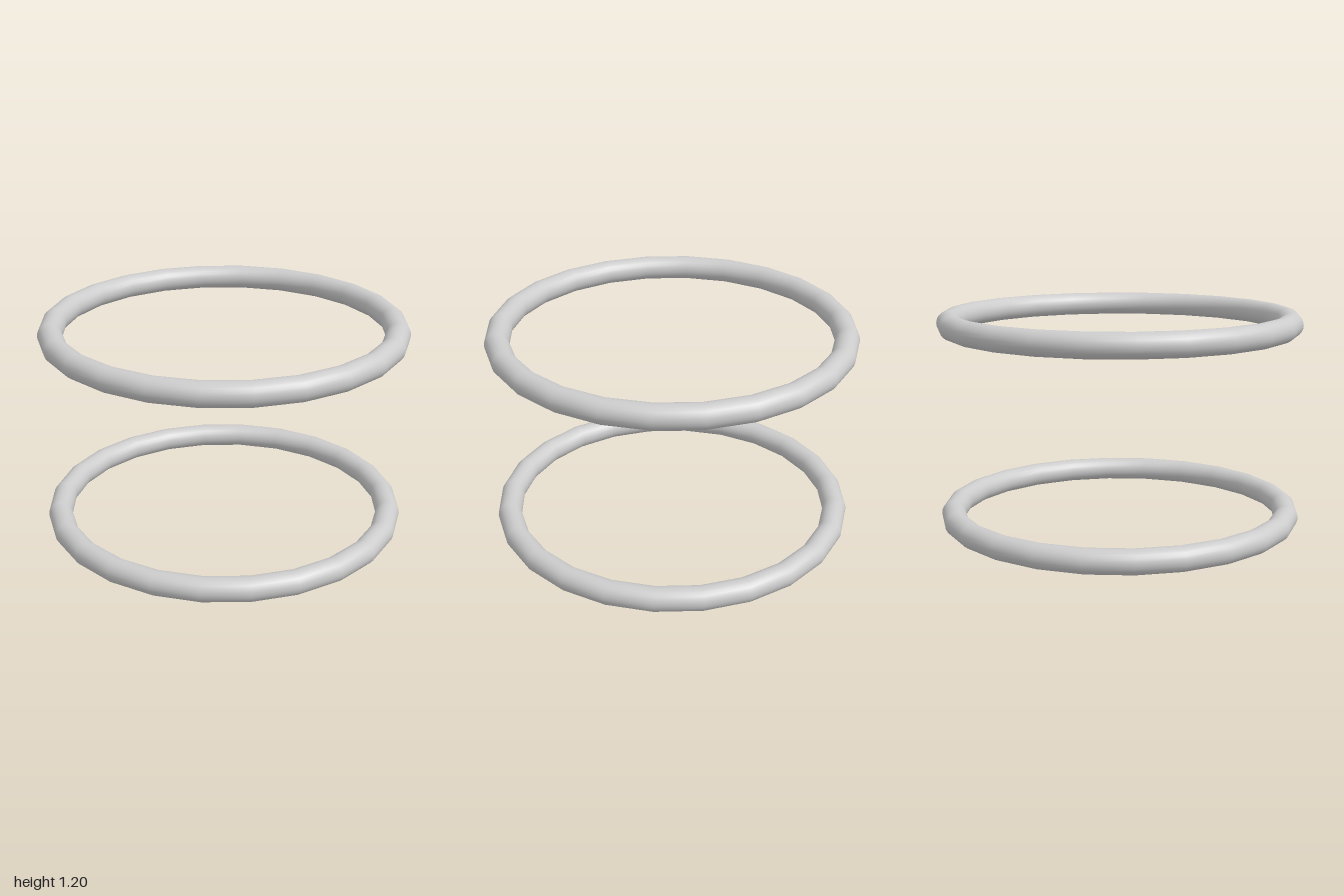
import * as THREE from 'three';

const TUBE = 0.066;
const RADIUS = 1 - TUBE;
const HEIGHT = 1.2;

export function createModel() {
  const model = new THREE.Group();
  const material = new THREE.MeshStandardMaterial({ color: 0xcccccc });

  // One smooth-shaded ring with 24 straight segments, laid flat
  const geometry = new THREE.TorusGeometry(RADIUS, TUBE, 24, 24);
  geometry.rotateX(-Math.PI / 2);

  // Two identical rings, one above the other
  const rings = { lowerRing: TUBE, upperRing: HEIGHT - TUBE };
  for (const [name, y] of Object.entries(rings)) {
    const ring = new THREE.Mesh(geometry, material);
    ring.name = name;
    ring.position.y = y;
    model.add(ring);
  }
  return model;
}
